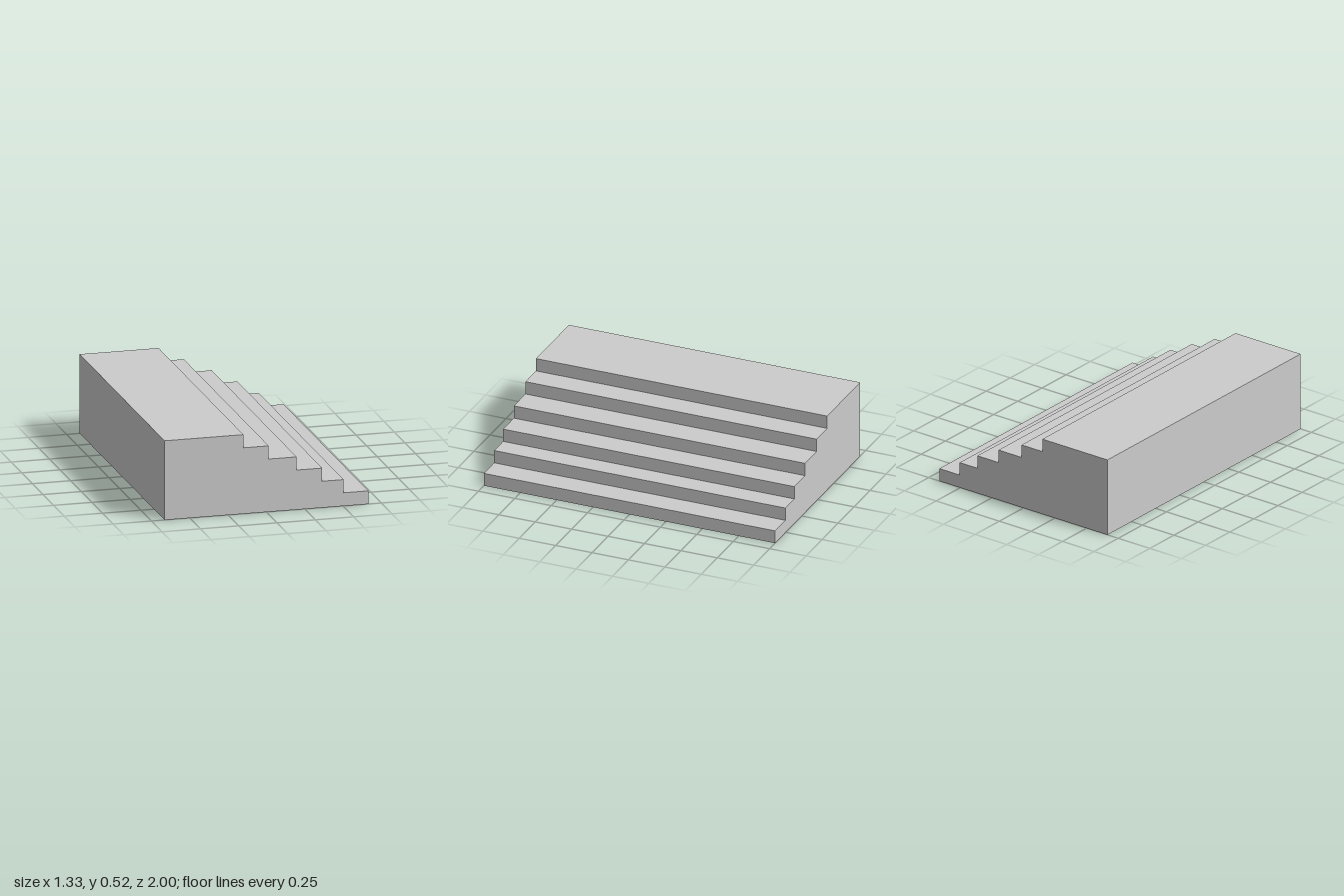
import * as THREE from 'three';

export function createModel() {
  const group = new THREE.Group();
  const material = new THREE.MeshStandardMaterial({ color: 0xcccccc, flatShading: true });

  const left = -0.665, length = 2, rise = 0.0865;
  // outer edge of each tread, from the lowest step up to the landing
  const edges = [0.665, 0.504, 0.364, 0.197, 0.015, -0.15];

  // stepped side profile
  const profile = new THREE.Shape();
  profile.moveTo(left, 0);
  edges.forEach((x, i) => {
    profile.lineTo(x, i * rise);
    profile.lineTo(x, (i + 1) * rise);
  });
  profile.lineTo(left, edges.length * rise);
  profile.closePath();

  // solid staircase with a wide landing on top
  const geometry = new THREE.ExtrudeGeometry(profile, { depth: length, bevelEnabled: false });
  geometry.translate(0, 0, -length / 2);
  const staircase = new THREE.Mesh(geometry, material);
  staircase.name = 'staircase';
  group.add(staircase);

  return group;
}
